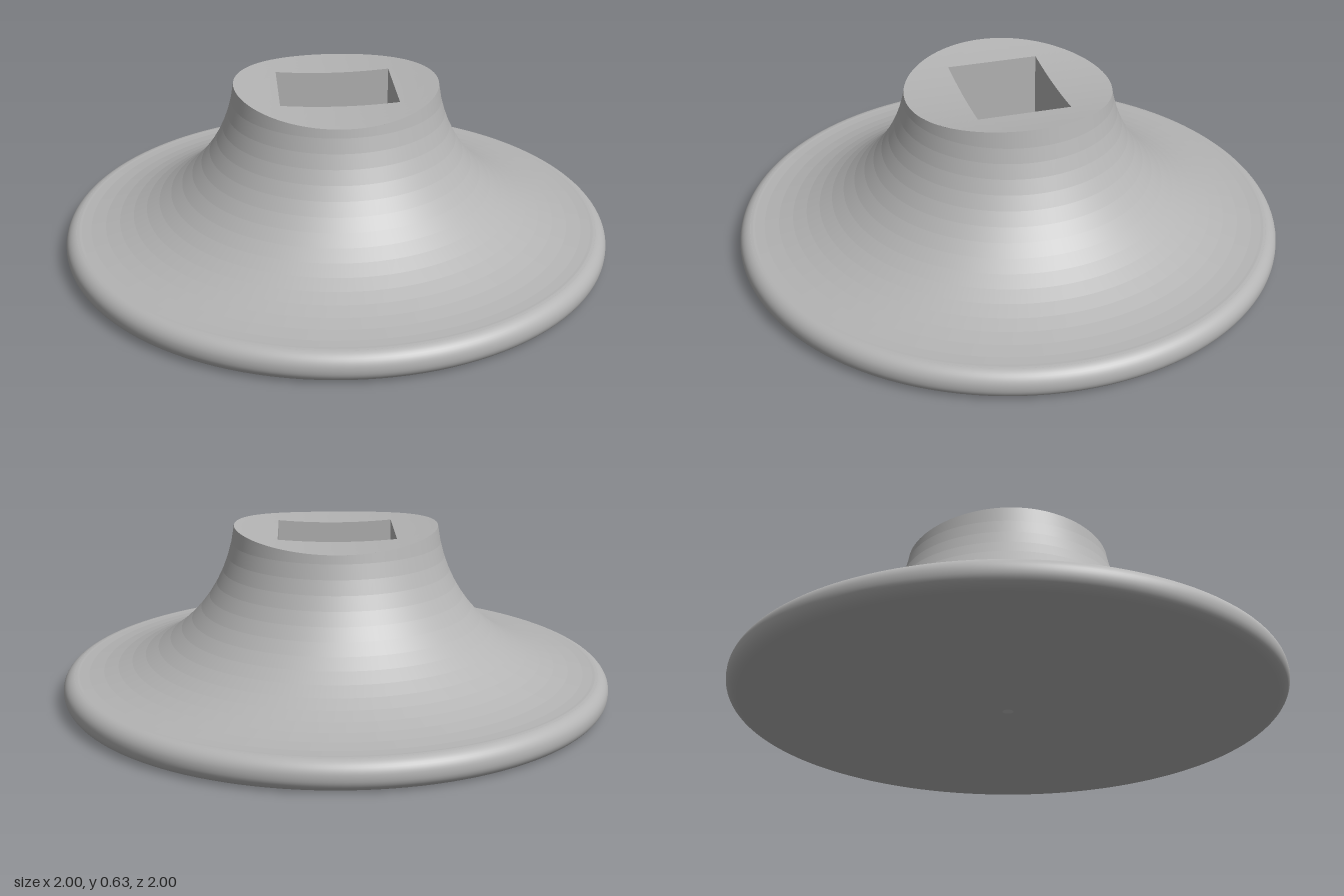
import * as THREE from 'three';
import { mergeGeometries } from 'three/addons/utils/BufferGeometryUtils.js';

const SEG = 128;
const HX = 0.21, HZ = 0.168, FLOOR = 0.2; // socket half sizes and floor height
const ARC = { x: 0.96, y: 0.699, r: 0.594 }; // concave flare, tangent to the flange top

const saddle = (x) => 0.6 + 0.22 * x * x; // top dips along x only
const flareRadius = (y) => ARC.x - Math.sqrt(ARC.r ** 2 - (y - ARC.y) ** 2);

// Grid surface from rows of points, faceted
function loft(rows) {
  const pos = [], idx = [], n = rows[0].length;
  rows.forEach((row) => row.forEach((p) => pos.push(...p)));
  for (let i = 0; i < rows.length - 1; i++) {
    for (let j = 0; j < n - 1; j++) {
      const a = i * n + j, b = a + 1, c = a + n, d = c + 1;
      idx.push(a, b, c, b, d, c);
    }
  }
  let g = new THREE.BufferGeometry();
  g.setAttribute('position', new THREE.Float32BufferAttribute(pos, 3));
  g.setIndex(idx);
  g = g.toNonIndexed();
  g.computeVertexNormals();
  return g;
}

const lathe = (pts) => new THREE.LatheGeometry(pts.map(([x, y]) => new THREE.Vector2(x, y)), SEG);

// Flare made of conical rings; the last ring is trimmed by the saddle top
function flareGeometry() {
  const rings = [], n = 15, last = Math.acos((ARC.y - 0.57) / ARC.r);
  const heights = [];
  for (let i = 0; i <= n; i++) heights.push(ARC.y - ARC.r * Math.cos((last * i) / n));
  heights.push(0.615);
  for (let i = 0; i <= n; i++) {
    const y0 = heights[i], y1 = heights[i + 1];
    const g = new THREE.CylinderGeometry(flareRadius(y1), flareRadius(y0), y1 - y0, SEG, 1, true);
    g.translate(0, (y0 + y1) / 2, 0);
    if (i === n) {
      const p = g.attributes.position;
      for (let k = 0; k < p.count; k++) {
        if (p.getY(k) < 0.6) continue;
        const a = Math.atan2(p.getZ(k), p.getX(k));
        const y = saddle(0.372 * Math.cos(a)), r = flareRadius(y);
        p.setXYZ(k, r * Math.cos(a), y, r * Math.sin(a));
      }
    }
    rings.push(g);
  }
  return mergeGeometries(rings);
}

// Angles around the top, with the socket corners included
function topAngles() {
  const c = Math.atan2(HZ, HX), list = [c, Math.PI - c, Math.PI + c, 2 * Math.PI - c];
  for (let i = 0; i <= SEG; i++) list.push((i / SEG) * Math.PI * 2);
  return list.sort((a, b) => a - b);
}

export function createModel() {
  const group = new THREE.Group();
  const grey = new THREE.MeshStandardMaterial({ color: 0xb4b4b4 });
  grey.name = 'grey';
  const add = (name, geometry) => {
    const mesh = new THREE.Mesh(geometry, grey);
    mesh.name = name;
    group.add(mesh);
  };

  // Round flange with a softly rounded rim
  const rim = [], f = 0.05, h = 0.106;
  for (let i = 0; i <= 10; i++) {
    const a = -Math.PI / 2 + (i / 10) * (Math.PI / 2);
    rim.push([1 - f + f * Math.cos(a), f + f * Math.sin(a)]);
  }
  for (let i = 0; i <= 10; i++) {
    const a = (i / 10) * (Math.PI / 2);
    rim.push([1 - f + f * Math.cos(a), h - f + f * Math.sin(a)]);
  }
  add('flangeRim', lathe(rim));
  add('flangeTop', lathe([[1 - f, h], [0.85, h - 0.002]]));
  add('underside', lathe([[0.02, 0], [1 - f, 0]]));
  add('centreDimple', lathe([[0, 0.02], [0.02, 0]]));

  add('flare', flareGeometry());

  // Saddle-shaped top face around the rectangular socket
  const angles = topAngles();
  const inner = angles.map((a) => {
    const c = Math.cos(a), s = Math.sin(a);
    const t = Math.min(HX / Math.max(Math.abs(c), 1e-9), HZ / Math.max(Math.abs(s), 1e-9));
    return [c * t, s * t];
  });
  const rows = [];
  for (let k = 0; k <= 6; k++) {
    rows.push(angles.map((a, j) => {
      const r = flareRadius(saddle(0.372 * Math.cos(a)));
      const x = THREE.MathUtils.lerp(inner[j][0], r * Math.cos(a), k / 6);
      const z = THREE.MathUtils.lerp(inner[j][1], r * Math.sin(a), k / 6);
      return [x, saddle(x), z];
    }));
  }
  add('topFace', loft(rows));

  // Socket walls and floor
  const wallTop = inner.map(([x, z]) => [x, saddle(x), z]);
  const wallBottom = inner.map(([x, z]) => [x, FLOOR, z]);
  add('socketWalls', loft([wallBottom, wallTop]));
  const floor = new THREE.PlaneGeometry(HX * 2, HZ * 2);
  floor.rotateX(-Math.PI / 2).translate(0, FLOOR, 0);
  add('socketFloor', floor);

  return group;
}
